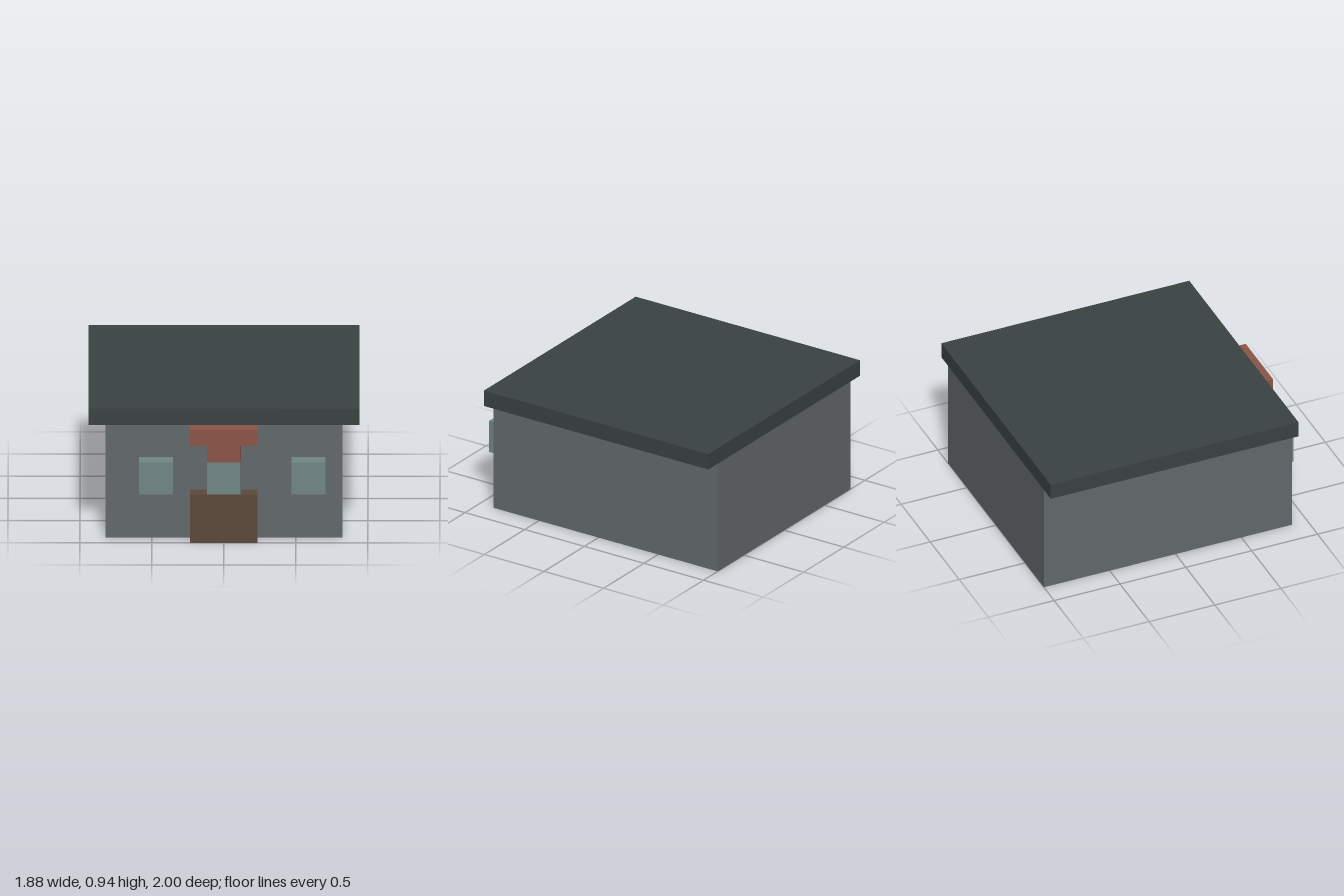
import * as THREE from 'three';

const U = 2 / 17; // modelling unit: the building is 17 units deep

function material(name, color) {
  const m = new THREE.MeshStandardMaterial({ color });
  m.name = name;
  return m;
}

export function createModel() {
  const wall = material('grey wall', 0x63696c);
  const roof = material('dark roof', 0x3b4242);
  const brick = material('red brick', 0x8c5648);
  const glass = material('pale glass', 0x718685);
  const wood = material('brown wood', 0x5b4a3a);

  const group = new THREE.Group();
  group.name = 'house';

  // Box spanning two corners, given in units
  function block(name, mat, [x0, y0, z0], [x1, y1, z1]) {
    const mesh = new THREE.Mesh(
      new THREE.BoxGeometry((x1 - x0) * U, (y1 - y0) * U, (z1 - z0) * U), mat);
    mesh.position.set((x0 + x1) / 2 * U, (y0 + y1) / 2 * U, (z0 + z1) / 2 * U);
    mesh.name = name;
    group.add(mesh);
  }

  const back = -8.5, front = 7.5, face = 8.5;

  // Main body and flat roof, overhanging at the sides only
  block('walls', wall, [-7, 0, back], [7, 7, front]);
  block('roof', roof, [-8, 7, back], [8, 8, front]);

  // Entrance: door, pane above it and T-shaped lintel
  block('door', wood, [-2, 0, front], [2, 3, face]);
  block('doorPane', glass, [-1, 3, front], [1, 5, face]);
  block('lintelStem', brick, [-1, 5, front], [1, 6, face]);
  block('lintelTop', brick, [-2, 6, front], [2, 7, face]);

  // Projecting windows, slightly off symmetry
  block('rightWindow', glass, [-5, 3, front], [-3, 5, face]);
  block('leftWindow', glass, [4, 3, front], [6, 5, face]);

  return group;
}
